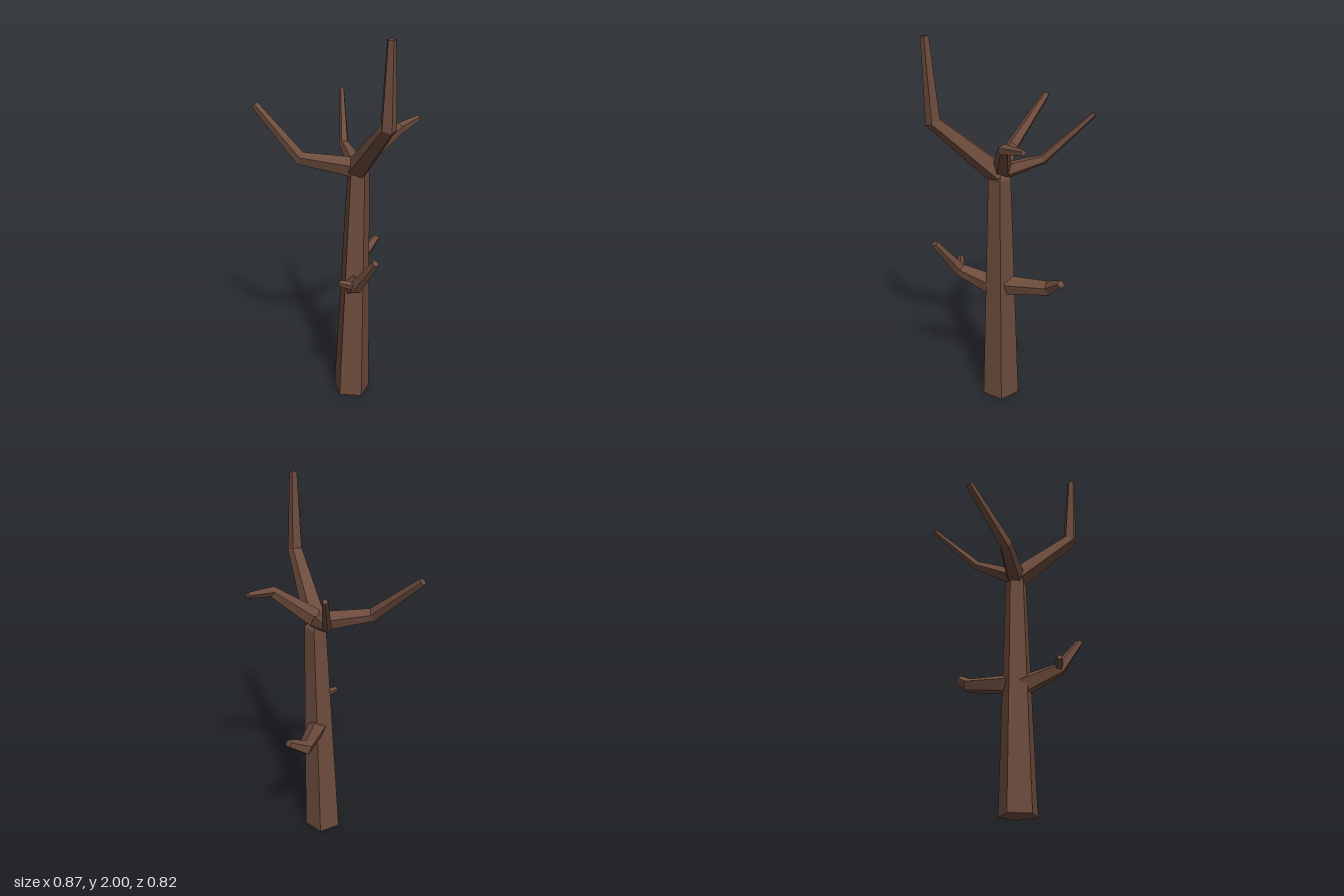
import * as THREE from 'three';

const SIDES = 5;

// Five-sided limb swept through rings of [x, y, z, radius]; 'hint' points at the first corner.
function limbGeometry(rings, hint, phase) {
  const centres = rings.map(([x, y, z]) => new THREE.Vector3(x, y, z));
  const last = rings.length - 1;
  const tangent = (i) => {
    const t = new THREE.Vector3();
    if (i > 0) t.add(centres[i].clone().sub(centres[i - 1]).normalize());
    if (i < last) t.add(centres[i + 1].clone().sub(centres[i]).normalize());
    return t.normalize();
  };

  // Carry the cross-section along the path without twisting
  let t = tangent(0);
  const u = hint.clone().addScaledVector(t, -hint.dot(t)).normalize();
  const loops = centres.map((c, i) => {
    const next = tangent(i);
    u.applyQuaternion(new THREE.Quaternion().setFromUnitVectors(t, next));
    t = next;
    const v = t.clone().cross(u);
    return Array.from({ length: SIDES }, (_, k) => {
      const a = phase + (k / SIDES) * Math.PI * 2;
      const p = c.clone()
        .addScaledVector(u, Math.cos(a) * rings[i][3])
        .addScaledVector(v, Math.sin(a) * rings[i][3]);
      p.y = Math.max(0, p.y);
      return p;
    });
  });

  const pos = [];
  const tri = (...pts) => pts.forEach((p) => pos.push(p.x, p.y, p.z));
  for (let k = 0; k < SIDES; k++) {
    const n = (k + 1) % SIDES;
    for (let i = 0; i < last; i++) {
      tri(loops[i][k], loops[i][n], loops[i + 1][n]);
      tri(loops[i][k], loops[i + 1][n], loops[i + 1][k]);
    }
    // End caps
    tri(centres[0], loops[0][n], loops[0][k]);
    tri(centres[last], loops[last][k], loops[last][n]);
  }
  const g = new THREE.BufferGeometry();
  g.setAttribute('position', new THREE.Float32BufferAttribute(pos, 3));
  g.computeVertexNormals();
  return g;
}

export function createModel() {
  const group = new THREE.Group();
  group.name = 'bareTree';
  const bark = new THREE.MeshStandardMaterial({ color: 0x6b4b3c });
  bark.name = 'bark';
  bark.flatShading = true;

  const up = new THREE.Vector3(0, 1, 0);
  const addLimb = (name, rings, hint = up, phase = 0) => {
    const mesh = new THREE.Mesh(limbGeometry(rings, hint, phase), bark);
    mesh.name = name;
    group.add(mesh);
  };

  // Tapered trunk, closing to a small crown between the boughs
  const corner = THREE.MathUtils.degToRad(-9);
  addLimb('trunk', [
    [0.065, 0, 0.065, 0.103],
    [0.093, 1.28, 0.06, 0.06],
    [0.075, 1.36, 0.05, 0.02],
  ], new THREE.Vector3(Math.cos(corner), 0, Math.sin(corner)));

  // Upper boughs
  const flat = Math.PI / SIDES;
  addLimb('frontBough', [
    [0.09, 1.31, 0.065, 0.062],
    [0.195, 1.595, 0.365, 0.041],
    [0.196, 2, 0.388, 0.021],
  ], up, flat);
  addLimb('rightBough', [
    [0.09, 1.31, 0.058, 0.055],
    [-0.2, 1.36, 0.03, 0.036],
    [-0.42, 1.6, -0.135, 0.02],
  ]);
  addLimb('backBough', [
    [0.085, 1.32, 0.04, 0.045],
    [0.04, 1.375, -0.155, 0.026],
    [0.05, 1.615, -0.4, 0.014],
  ], up, flat);
  addLimb('leftBough', [
    [0.1, 1.34, 0.045, 0.05],
    [0.31, 1.5, 0.01, 0.029],
    [0.42, 1.523, -0.092, 0.016],
  ]);

  // Lower branches
  addLimb('lowerBackBranch', [
    [0.09, 0.685, 0.04, 0.055],
    [0.155, 0.71, -0.205, 0.04],
    [0.24, 0.78, -0.27, 0.021],
  ]);
  addLimb('lowerFrontBranch', [
    [0.068, 0.665, 0.09, 0.058],
    [0.062, 0.75, 0.285, 0.036],
    [0.145, 0.93, 0.395, 0.019],
  ]);
  addLimb('frontTwig', [
    [0.07, 0.75, 0.28, 0.028],
    [-0.027, 0.78, 0.29, 0.015],
  ]);
  return group;
}
